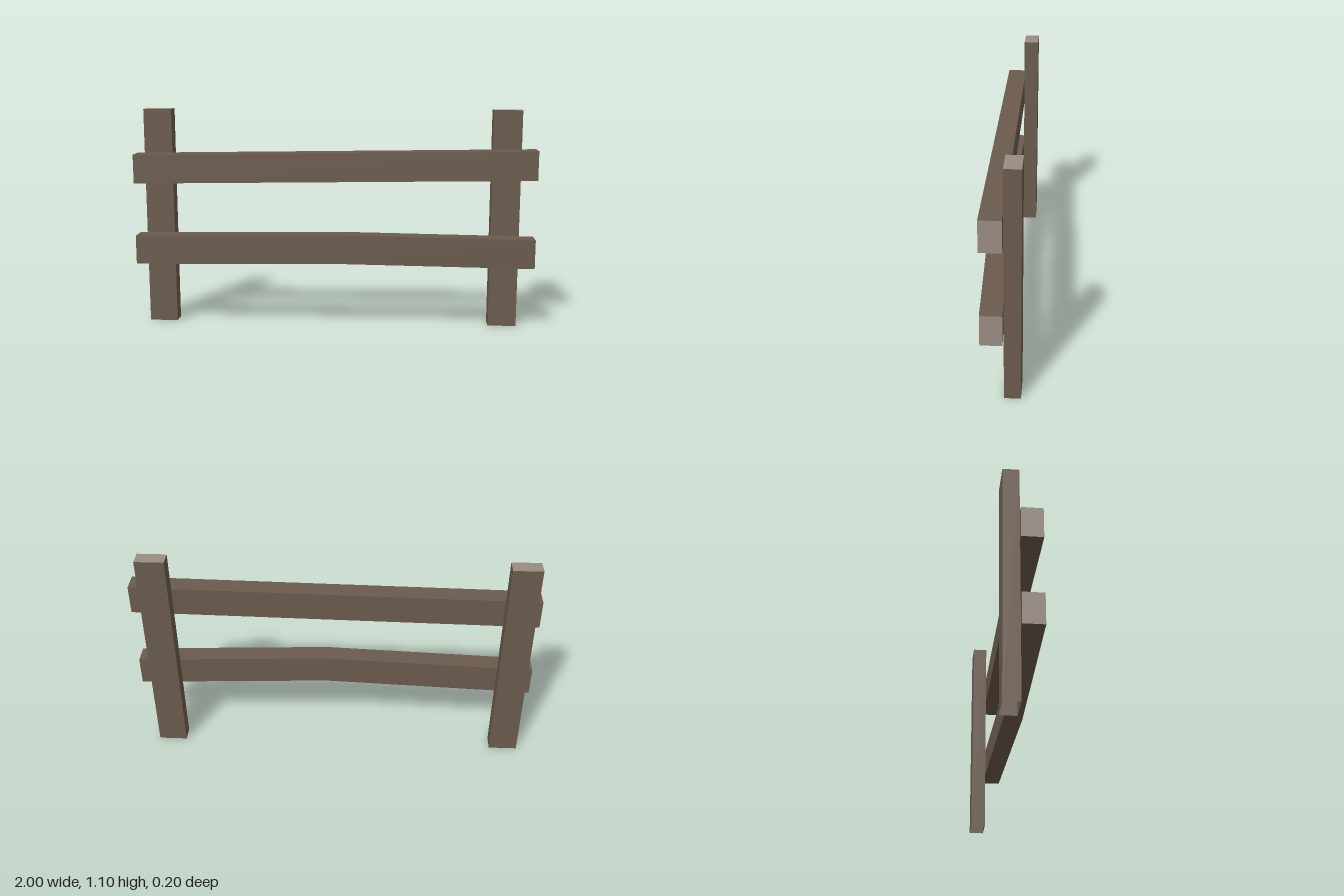
import * as THREE from 'three';

const wood = new THREE.MeshStandardMaterial({ color: 0x6b5b4d, side: THREE.DoubleSide });
wood.name = 'brown wood';
const endGrain = new THREE.MeshStandardMaterial({ color: 0x9a8d83, side: THREE.DoubleSide });
endGrain.name = 'pale end grain';

// Upright post with a pale top and an open underside
function makePost(name, x) {
  const geo = new THREE.BoxGeometry(0.142, 1.1, 0.075);
  const index = Array.from(geo.index.array);
  index.splice(18, 6); // leave out the bottom face
  geo.setIndex(index);
  geo.clearGroups();
  geo.addGroup(0, 12, 0);
  geo.addGroup(12, 6, 1);
  geo.addGroup(18, 12, 0);
  const post = new THREE.Mesh(geo, [wood, endGrain]);
  post.name = name;
  post.position.set(x, 0.55, -0.0625);
  return post;
}

// Horizontal rail with pale ends; each section is [x, lower edge y, back z]
function makeRail(name, sections) {
  const height = 0.145, depth = 0.097;
  const box = new THREE.BoxGeometry(2, height, depth, sections.length - 1, 1, 1);
  const pos = box.attributes.position;
  for (let i = 0; i < pos.count; i++) {
    const s = Math.round((pos.getX(i) + 1) / 2 * (sections.length - 1));
    const [x, y, z] = sections[s];
    pos.setXYZ(i, x, y + height / 2 + pos.getY(i), z + depth / 2 + pos.getZ(i));
  }
  const geo = box.toNonIndexed();
  geo.computeVertexNormals();
  const rail = new THREE.Mesh(geo, [endGrain, endGrain, wood, wood, wood, wood]);
  rail.name = name;
  return rail;
}

export function createModel() {
  const fence = new THREE.Group();
  fence.name = 'fence';
  fence.add(
    makePost('rightPost', -0.893),
    makePost('leftPost', 0.859),
    // The upper rail is slightly tilted, the lower one bows up and forward
    makeRail('upperRail', [[-1, 0.734, -0.025], [1, 0.764, -0.025]]),
    makeRail('lowerRail', [[-1, 0.323, -0.025], [0.04, 0.342, 0.003], [1, 0.323, -0.025]]),
  );
  return fence;
}
